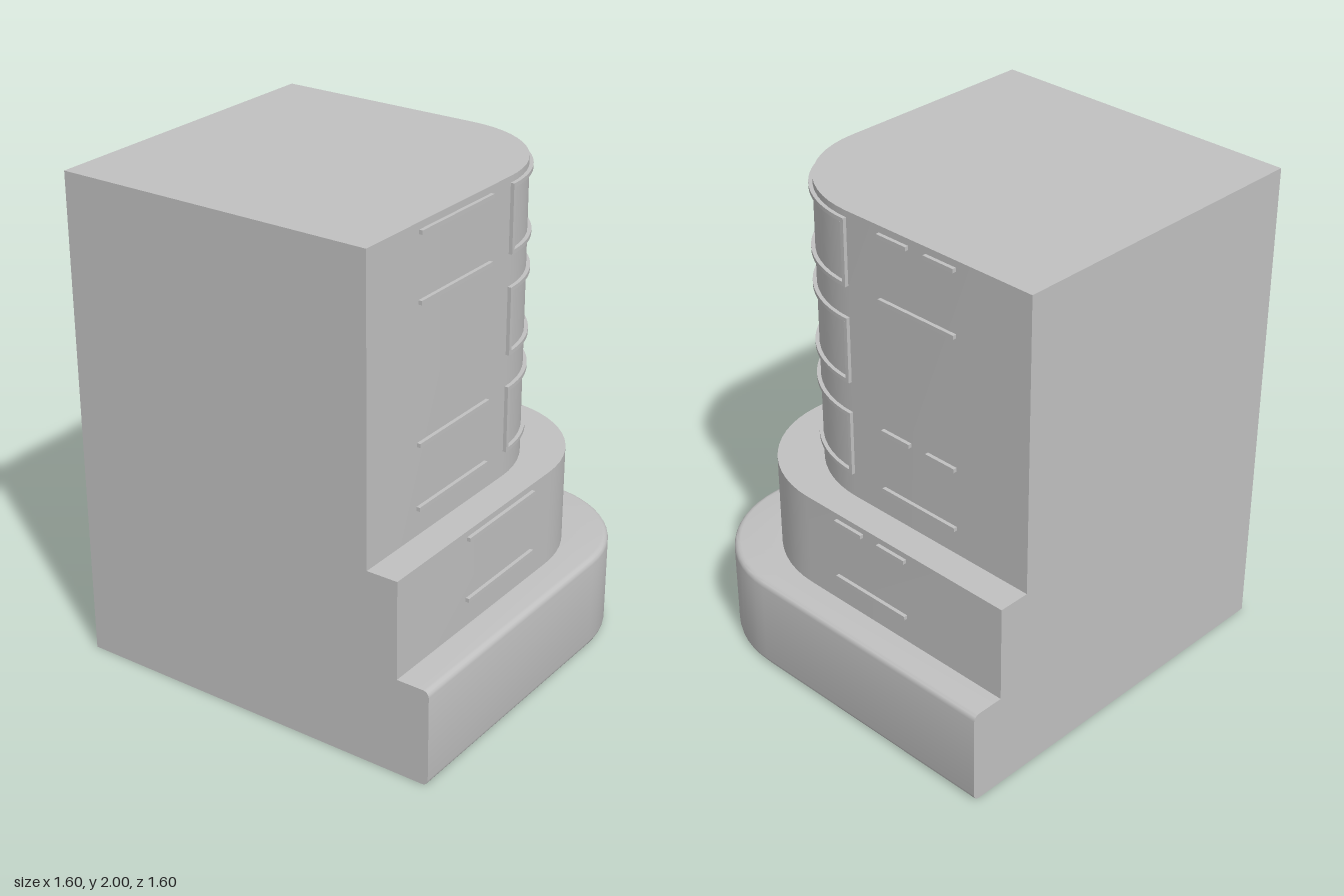
import * as THREE from 'three';
import { toCreasedNormals } from 'three/addons/utils/BufferGeometryUtils.js';

const BACK = -0.8;      // plane of the two flat cut walls
const ARC_STEPS = 14;

// Plan outline: straight front, rounded corner, straight side
function planPath(d, centre) {
  const r = d - centre;
  const pts = [[BACK, d]];
  for (let i = 0; i <= ARC_STEPS; i++) {
    const a = (Math.PI / 2) * (1 - i / ARC_STEPS);
    pts.push([centre + r * Math.cos(a), centre + r * Math.sin(a)]);
  }
  pts.push([d, BACK]);
  return pts;
}

// Sweep a [distance, height] profile around the rounded corner
function sweep(profile, centre) {
  const rows = profile.map(([d, y]) => planPath(d, centre).map(([x, z]) => [x, y, z]));
  const pos = [];
  for (let j = 0; j < rows.length - 1; j++) {
    for (let i = 0; i < rows[j].length - 1; i++) {
      const a = rows[j][i], b = rows[j][i + 1], c = rows[j + 1][i + 1], d = rows[j + 1][i];
      pos.push(...a, ...b, ...c, ...a, ...c, ...d);
    }
  }
  const g = new THREE.BufferGeometry();
  g.setAttribute('position', new THREE.Float32BufferAttribute(pos, 3));
  return toCreasedNormals(g, 0.6);
}

// Solid slice of a ring, standing from y0 to y1
function ringSlice(r0, r1, a0, a1, y0, y1) {
  const s = new THREE.Shape();
  s.absarc(0, 0, r1, a0, a1, false);
  s.absarc(0, 0, r0, a1, a0, true);
  const g = new THREE.ExtrudeGeometry(s, { depth: y1 - y0, bevelEnabled: false, curveSegments: ARC_STEPS });
  g.rotateX(Math.PI / 2);
  g.translate(0, y1, 0);
  return toCreasedNormals(g, 0.6);
}

export function createModel() {
  const group = new THREE.Group();
  const stone = new THREE.MeshStandardMaterial({ color: 0xc0c0c0, side: THREE.DoubleSide });
  stone.name = 'grey stone';

  const add = (name, geometry, parent = group) => {
    const m = new THREE.Mesh(geometry, stone);
    m.name = name;
    parent.add(m);
    return m;
  };

  // Tier profiles, with softened edges on the base
  const B = 0.797, R = 0.025;
  const baseOuter = [];
  for (let i = 0; i <= 4; i++) {
    const a = (i / 4) * Math.PI / 2;
    baseOuter.push([B - R + R * Math.sin(a), R - R * Math.cos(a)]);
  }
  for (let i = 0; i <= 4; i++) {
    const a = (i / 4) * Math.PI / 2;
    baseOuter.push([B - R + R * Math.cos(a), 0.4 - R + R * Math.sin(a)]);
  }
  add('baseTier', sweep([[0.4, 0], ...baseOuter, [0.6, 0.4]], 0.345));
  add('middleTier', sweep([[0.66, 0.4], [0.66, 0.8], [0.47, 0.8]], 0.21));
  add('upperTier', sweep([[0.53, 0.8], [0.53, 2]], 0.08));

  // Flat roof
  const roof = new THREE.Shape(
    [[BACK, BACK], ...planPath(0.53, 0.08)].map(([x, z]) => new THREE.Vector2(x, -z)));
  const roofGeo = new THREE.ShapeGeometry(roof);
  roofGeo.rotateX(-Math.PI / 2);
  roofGeo.translate(0, 2, 0);
  add('roof', roofGeo);

  // Stepped flat walls closing the right and back ends
  const section = [[BACK, 0], ...baseOuter, [0.66, 0.4], [0.66, 0.8], [0.53, 0.8], [0.53, 2], [BACK, 2]];
  const wall = () => new THREE.ShapeGeometry(
    new THREE.Shape(section.map(([d, y]) => new THREE.Vector2(d, y))));
  add('backWall', wall().translate(0, 0, BACK));
  add('rightWall', wall().rotateY(-Math.PI / 2).translate(BACK, 0, 0));

  // Thin ledges above and below each row of side windows
  const T = 0.015;
  const frontLedge = (x0, x1, y, face) => add('frontLedge',
    new THREE.BoxGeometry(x1 - x0, 0.016, T).translate((x0 + x1) / 2, y, face + T / 2));
  const sideLedge = (z0, z1, y, face) => add('sideLedge',
    new THREE.BoxGeometry(T, 0.016, z1 - z0).translate(face + T / 2, y, (z0 + z1) / 2));

  const rows = [
    { y: 0.513, face: 0.66, x: -0.36, z: 0.047 },
    { y: 0.912, face: 0.53, x: -0.497, z: -0.085 },
    { y: 1.71, face: 0.53, x: -0.497, z: -0.085 },
  ];
  for (const { y, face, x, z } of rows) {
    const top = y + 0.255;
    frontLedge(x, x + 0.448, y, face);
    frontLedge(x, x + 0.448, top, face);
    sideLedge(z - 0.37, z, y, face);
    sideLedge(z - 0.143, z, top, face);
    sideLedge(z - 0.37, z - 0.227, top, face);
  }

  // Curved window frames around the rounded corner
  const r0 = 0.448, r1 = 0.465, q = Math.PI / 2, e = 0.035;
  for (const y of [0.904, 1.304, 1.703]) {
    const frame = new THREE.Group();
    frame.name = 'cornerWindowFrame';
    frame.position.set(0.08, 0, 0.08);
    const top = y + 0.271;
    add('bottomRail', ringSlice(r0, r1, 0, q, y, y + 0.016), frame);
    add('topRail', ringSlice(r0, r1, 0, q, top - 0.016, top), frame);
    add('sidePost', ringSlice(r0, r1, 0, e, y + 0.016, top - 0.016), frame);
    add('frontPost', ringSlice(r0, r1, q - e, q, y + 0.016, top - 0.016), frame);
    group.add(frame);
  }
  return group;
}
